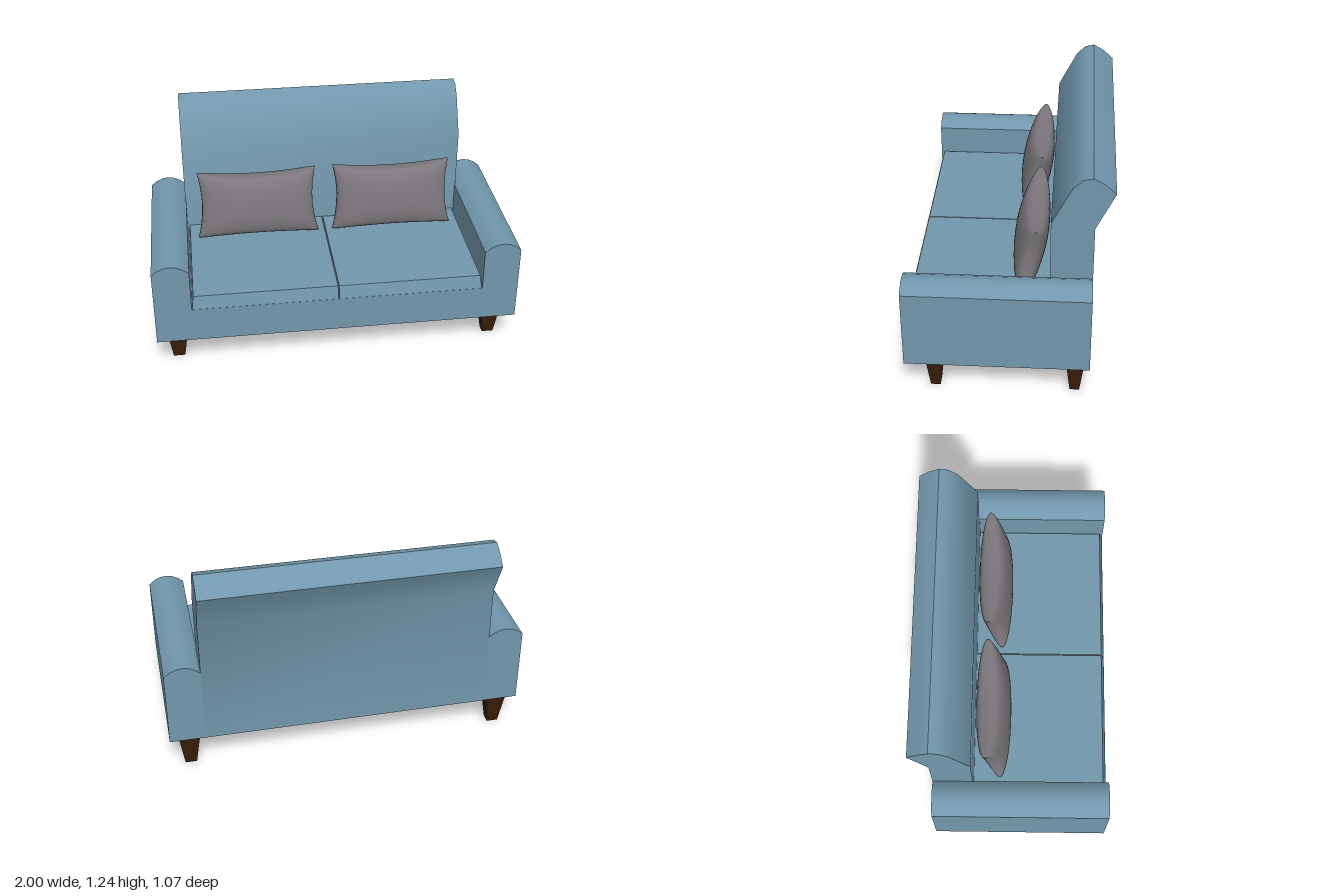
import * as THREE from 'three';
import { toCreasedNormals, mergeGeometries } from 'three/addons/utils/BufferGeometryUtils.js';

const material = (name, color) => {
  const m = new THREE.MeshStandardMaterial({ color });
  m.name = name;
  return m;
};

const vectors = (points) => points.map(([x, y]) => new THREE.Vector2(x, y));

const extrude = (points, depth) =>
  toCreasedNormals(new THREE.ExtrudeGeometry(new THREE.Shape(vectors(points)), { depth, bevelEnabled: false }), 0.6);

// Move every vertex of a geometry by a rule
function deform(geometry, rule) {
  const p = geometry.attributes.position;
  for (let i = 0; i < p.count; i++) p.setXYZ(i, ...rule(p.getX(i), p.getY(i), p.getZ(i)));
  geometry.computeVertexNormals();
  return geometry;
}

// U-shaped section: base and both arms with rounded tops
function frameGeometry() {
  const arm = [[0.8, 0.4], [0.8, 0.635], [0.83, 0.66], [0.865, 0.677], [0.9, 0.682], [0.935, 0.677], [0.97, 0.66], [1, 0.635], [1, 0.2]];
  const mirrored = arm.map(([x, y]) => [-x, y]).reverse();
  return extrude([...mirrored, ...arm], 0.97).translate(0, 0, -0.435);
}

// Backrest side profile, given as [depth behind centre, height]
function backrestGeometry() {
  const profile = [
    [0.215, 0.21], [0.215, 0.97], [0.32, 1.175], [0.368, 1.222], [0.42, 1.235],
    [0.48, 1.2], [0.535, 1.15], [0.436, 0.945], [0.436, 0.2],
  ];
  return extrude(profile, 1.608).rotateY(Math.PI / 2).translate(-0.804, 0, 0);
}

// Seat cushion whose outer side and front lean inwards to the top
function cushionGeometry(side) {
  return deform(new THREE.BoxGeometry(1, 1, 1), (x, y, z) => {
    const top = y > 0;
    const outer = top ? 0.788 : 0.798;
    return [
      side * (x * side > 0 ? outer : 0.003),
      top ? 0.473 : 0.399,
      z > 0 ? (top ? 0.515 : 0.534) : -0.23,
    ];
  });
}

// Stuffed pillow: two domed sheets meeting in a pinched seam
function pillowGeometry() {
  const sheet = (sign) =>
    deform(new THREE.PlaneGeometry(2, 2, 28, 20), (a, b) => {
      const u = Math.sin((a * Math.PI) / 2);
      const v = Math.sin((b * Math.PI) / 2);
      const u2 = Math.max(0, 1 - u * u);
      const v2 = Math.max(0, 1 - v * v);
      return [
        sign * 0.345 * u * (1 - 0.075 * v2) * (1 - 0.015 * v),
        0.196 * v * (1 - (0.11 + 0.03 * v) * u2),
        sign * 0.088 * Math.pow(u2, 0.32) * Math.pow(v2, 0.27),
      ];
    });
  return mergeGeometries([sheet(1), sheet(-1)]);
}

// Four-sided tapered leg with a flared top
function legGeometry() {
  const profile = [[0, 0], [0.032, 0], [0.055, 0.165], [0.066, 0.202], [0, 0.202]];
  const g = new THREE.LatheGeometry(vectors(profile), 4, Math.PI / 4);
  return toCreasedNormals(g.scale(Math.SQRT2, 1, Math.SQRT2 * 0.8), 0.1);
}

export function createModel() {
  const fabric = material('blue fabric', 0x7297ac);
  const pillowCloth = material('grey pillow cloth', 0x7b777c);
  const wood = material('dark wood', 0x381d0a);

  const sofa = new THREE.Group();
  sofa.name = 'sofa';
  const add = (name, geometry, mat, x = 0, y = 0, z = 0) => {
    const mesh = new THREE.Mesh(geometry, mat);
    mesh.name = name;
    mesh.position.set(x, y, z);
    sofa.add(mesh);
    return mesh;
  };

  add('baseAndArms', frameGeometry(), fabric);
  add('backrest', backrestGeometry(), fabric);

  const pillow = pillowGeometry();
  const leg = legGeometry();
  for (const [label, side] of [['left', 1], ['right', -1]]) {
    add(`${label}SeatCushion`, cushionGeometry(side), fabric);
    add(`${label}Pillow`, pillow, pillowCloth, side * 0.39, 0.67, -0.105).rotation.x = -0.19;
    add(`${label}FrontLeg`, leg, wood, side * 0.89, 0, 0.382);
    add(`${label}BackLeg`, leg, wood, side * 0.89, 0, -0.359);
  }
  return sofa;
}
